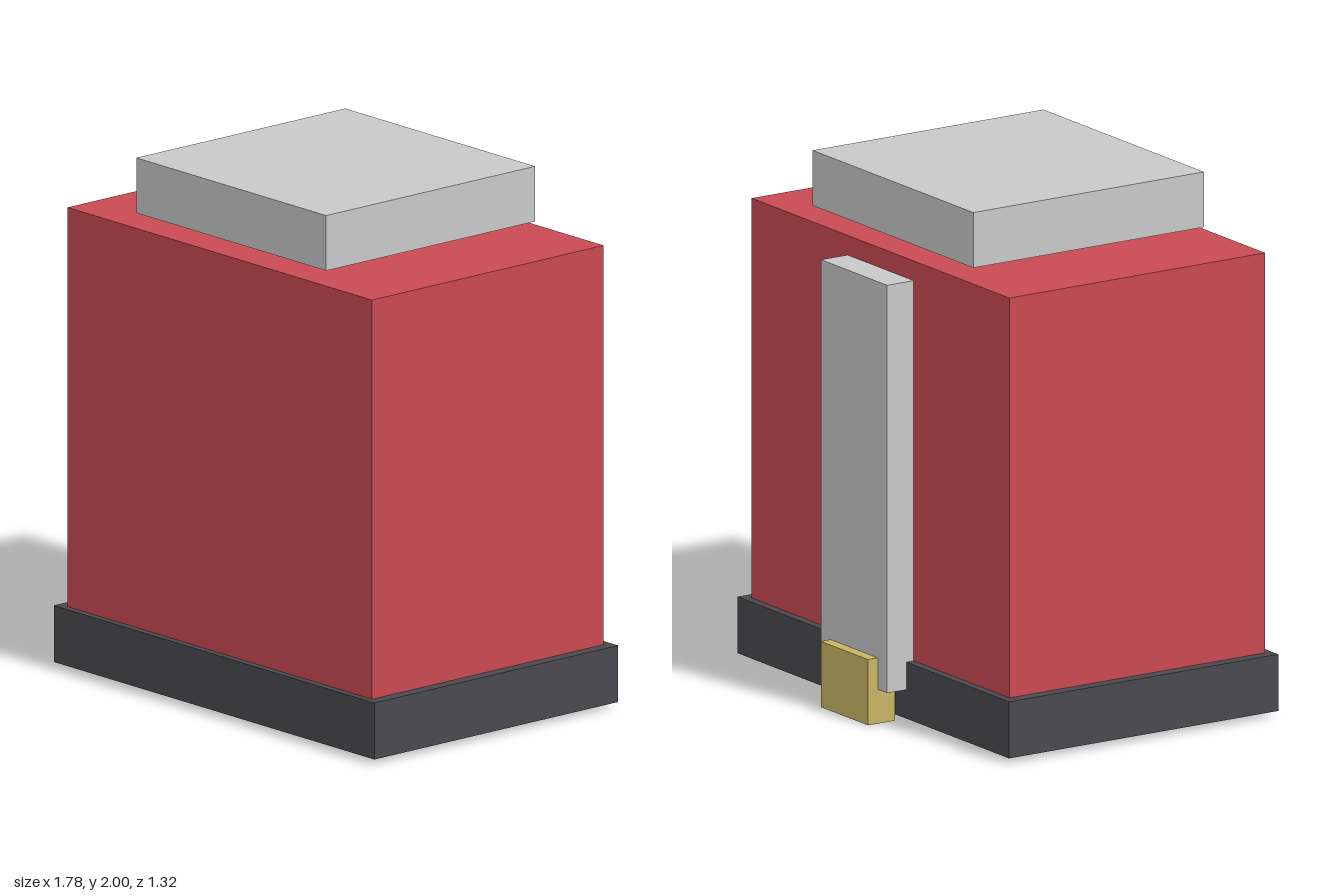
import * as THREE from 'three';

const mat = (name, color) => {
  const m = new THREE.MeshStandardMaterial({ color });
  m.name = name;
  return m;
};

export function createModel() {
  const group = new THREE.Group();
  const red = mat('red', 0xc94a52);
  const grey = mat('light grey', 0xc8c8c8);
  const dark = mat('charcoal', 0x4a4a4e);
  const gold = mat('gold', 0xc8b464);

  // Box given by its extents on each axis
  const block = (name, material, [x0, x1], [y0, y1], [z0, z1]) => {
    const mesh = new THREE.Mesh(new THREE.BoxGeometry(x1 - x0, y1 - y0, z1 - z0), material);
    mesh.position.set((x0 + x1) / 2, (y0 + y1) / 2, (z0 + z1) / 2);
    mesh.name = name;
    group.add(mesh);
  };

  // Plinth, main body and the raised top plate floating just above it
  block('base', dark, [-0.89, 0.89], [0.02, 0.235], [-0.532, 0.66]);
  block('body', red, [-0.845, 0.845], [0.235, 1.755], [-0.5, 0.632]);
  block('topPlate', grey, [-0.527, 0.527], [1.79, 2], [-0.445, 0.576]);

  // Upright strip on the back with a small catch at its foot
  block('backStrip', grey, [-0.217, 0.217], [0.13, 1.68], [-0.617, -0.5]);
  block('catch', gold, [-0.155, 0.155], [0, 0.25], [-0.66, -0.54]);

  return group;
}
